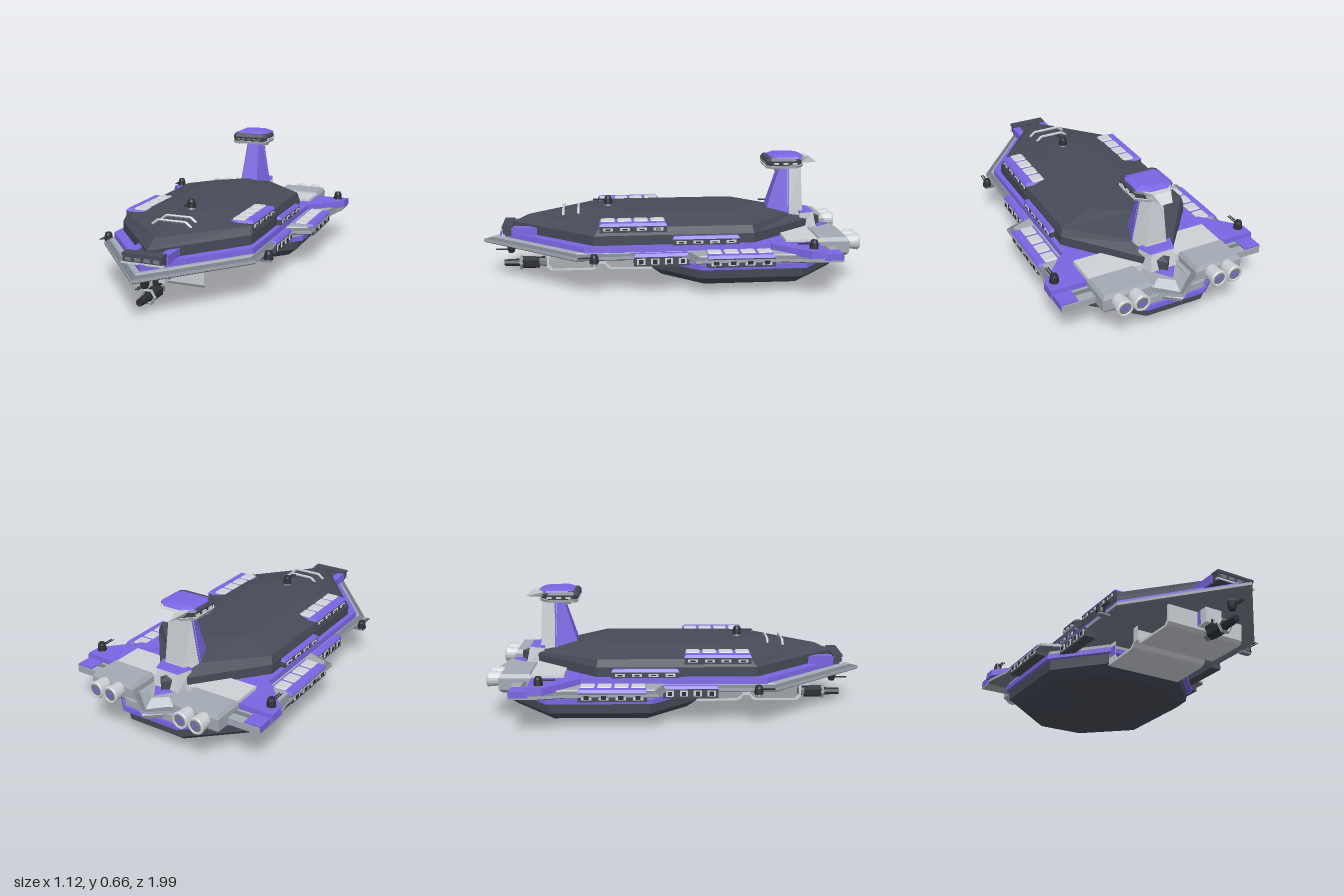
import * as THREE from 'three';
import { RoundedBoxGeometry } from 'three/addons/geometries/RoundedBoxGeometry.js';

const paint = (name, color) => {
  const m = new THREE.MeshStandardMaterial({ color, flatShading: true });
  m.name = name;
  return m;
};

export function createModel() {
  const ship = new THREE.Group();
  ship.name = 'starship';
  const purple = paint('purple', 0x7a65e2), dark = paint('hull slate', 0x464b57);
  const gun = paint('gunmetal', 0x2d2f35), light = paint('light grey', 0xcdd1d6);
  const grey = paint('grey', 0xa3aab3), steel = paint('steel', 0x777d87);

  const add = (name, geo, mat, x = 0, y = 0, z = 0, parent = ship) => {
    const m = new THREE.Mesh(geo, mat);
    m.name = name;
    m.position.set(x, y, z);
    parent.add(m);
    return m;
  };
  // box given by its min and max along each axis
  const box = (name, mat, x0, x1, y0, y1, z0, z1) =>
    add(name, new THREE.BoxGeometry(Math.abs(x1 - x0), y1 - y0, z1 - z0), mat,
      (x0 + x1) / 2, (y0 + y1) / 2, (z0 + z1) / 2);
  const cyl = (name, mat, r0, r1, h, n, x, y, z, parent, alongZ) => {
    const g = new THREE.CylinderGeometry(r0, r1, h, n);
    if (alongZ) g.rotateX(Math.PI / 2);
    return add(name, g, mat, x, y, z, parent);
  };

  // capped skin over rings of [x, y, z], bottom to top, counterclockwise from above
  const loft = (name, mat, rings) => {
    const pos = [], n = rings[0].length;
    const tri = (a, b, c) => pos.push(...a, ...b, ...c);
    for (let r = 0; r < rings.length - 1; r++) for (let i = 0; i < n; i++) {
      const j = (i + 1) % n, a = rings[r], b = rings[r + 1];
      tri(a[i], a[j], b[j]);
      tri(a[i], b[j], b[i]);
    }
    [rings[0], rings[rings.length - 1]].forEach((ring, top) => {
      const flat = ring.map(p => new THREE.Vector2(p[0], -p[2]));
      for (const [a, b, c] of THREE.ShapeUtils.triangulateShape(flat, []))
        top ? tri(ring[a], ring[b], ring[c]) : tri(ring[a], ring[c], ring[b]);
    });
    const g = new THREE.BufferGeometry();
    g.setAttribute('position', new THREE.Float32BufferAttribute(pos, 3));
    g.computeVertexNormals();
    return add(name, g, mat);
  };
  const mirror = half => [...half, ...half.filter(p => p[0] > 0).reverse().map(([x, z]) => [-x, z])];
  const at = (plan, y) => plan.map(([x, z]) => [x, y, z]);
  // plan outline [x, z] moved inward by d
  const inset = (pts, d) => pts.map((p, i) => {
    const q = pts[(i + pts.length - 1) % pts.length], s = pts[(i + 1) % pts.length];
    const normal = (a, b) => {
      const l = Math.hypot(b[0] - a[0], b[1] - a[1]);
      return [(b[1] - a[1]) / l, -(b[0] - a[0]) / l];
    };
    const [ax, az] = normal(q, p), [bx, bz] = normal(p, s), k = d / (1 + ax * bx + az * bz);
    return [p[0] + (ax + bx) * k, p[1] + (az + bz) * k];
  });
  // slab with levels of [y, inset]
  const slab = (name, mat, plan, levels) => {
    const area = plan.reduce((s, p, i) => {
      const q = plan[(i + 1) % plan.length];
      return s + q[0] * p[1] - p[0] * q[1];
    }, 0);
    const pts = area > 0 ? plan : [...plan].reverse();
    return loft(name, mat, levels.map(([y, d]) => at(inset(pts, d), y)));
  };
  const both = fn => [1, -1].forEach(fn);

  // upper hull
  const hex = (y, w, bow, f, b, stern) => at(mirror([[0, bow], [w, f], [w, b], [0, stern]]), y);
  loft('upperHull', dark, [hex(0.245, 0.355, 0.83, 0.4, -0.42, -0.85), hex(0.3, 0.355, 0.83, 0.4, -0.42, -0.85),
    hex(0.34, 0.343, 0.75, 0.37, -0.41, -0.74), hex(0.38, 0.17, 0.44, 0.2, -0.36, -0.47)]);

  // main decks
  const deck = mirror([[0, 0.995], [0.415, 0.5], [0.415, -0.06], [0.52, -0.1], [0.52, -0.55],
    [0.55, -0.7], [0.55, -0.74], [0.36, -0.76], [0.36, -0.88], [0.13, -0.9], [0, -0.99]]);
  slab('deckKeel', steel, deck, [[0.187, 0.008], [0.193, 0]]);
  slab('deckSide', grey, deck, [[0.193, 0], [0.207, 0]]);
  slab('deckBevel', steel, deck, [[0.206, 0.001], [0.217, 0.026]]);
  slab('deckTop', grey, deck, [[0.214, 0.026], [0.223, 0.034]]);
  slab('purpleDeck', purple, mirror([[0, 0.91], [0.385, 0.45], [0.385, -0.58], [0.15, -0.74]]),
    [[0.21, 0], [0.25, 0.004]]);

  // lower hull and its rims
  const belly = mirror([[0.22, 0.1], [0.438, -0.14], [0.438, -0.66], [0.15, -0.92]]);
  loft('lowerHull', dark, [at(mirror([[0.11, -0.18], [0.2, -0.27], [0.2, -0.53], [0.09, -0.62]]), 0),
    at(inset(belly, 0.055), 0.042), at(inset(belly, 0.004), 0.085), at(belly, 0.142)]).position.x = -0.008;
  slab('lowerRim', purple, belly, [[0.14, -0.025], [0.165, -0.025]]);
  slab('upperRim', grey, belly, [[0.165, -0.012], [0.2, -0.012]]);

  // hangar frame under the bow, open through its sides
  const path = p => p.map(([z, y]) => new THREE.Vector2(z, y));
  const frame = new THREE.Shape(path([[0.652, 0.195], [0.648, 0.1], [0.635, 0.084], [0.62, 0.08], [0.41, 0.08],
    [0.39, 0.088], [0.375, 0.11], [0.345, 0.11], [0.33, 0.088], [0.31, 0.08], [0.09, 0.075], [0.09, 0.195]]));
  frame.holes.push(new THREE.Path(path([[0.637, 0.19], [0.637, 0.115], [0.615, 0.092], [0.41, 0.092], [0.38, 0.115], [0.38, 0.19]])),
    new THREE.Path(path([[0.338, 0.19], [0.338, 0.115], [0.31, 0.092], [0.18, 0.09], [0.165, 0.115], [0.165, 0.19]])));
  const frameGeo = new THREE.ExtrudeGeometry(frame, { depth: 0.43, bevelEnabled: false });
  frameGeo.rotateY(-Math.PI / 2);
  add('hangarFrame', frameGeo, light, 0.208);
  box('bowPylon', light, -0.056, 0.034, 0.11, 0.19, 0.65, 0.72);
  both(s => {
    box('pylonPanel', purple, -0.011 + s * 0.04, -0.011 + s * 0.046, 0.115, 0.19, 0.635, 0.675);
    box('hangarPanel', purple, -0.007 + s * 0.214, -0.007 + s * 0.217, 0.115, 0.165, 0.11, 0.16);
  });

  // gun turret with twin barrels, s < 0 hangs it upside down
  const turret = (x, y, z, s = 1) => {
    const t = new THREE.Group();
    t.name = 'turret';
    t.position.set(x, y, z);
    if (s < 0) t.rotation.z = Math.PI;
    cyl('turretBase', steel, 0.014, 0.02, 0.012, 10, 0, 0.006, 0, t);
    cyl('turretDrum', gun, 0.02, 0.024, 0.03, 10, 0, 0.025, 0, t);
    cyl('turretCap', gun, 0.015, 0.02, 0.012, 10, 0, 0.046, 0, t);
    both(k => cyl('barrel', gun, 0.003, 0.003, 0.075, 6, k * 0.006, 0.034, 0.045, t, true));
    ship.add(t);
  };
  both(s => { turret(s * 0.515, 0.248, -0.69); turret(s * 0.445, 0.178, 0.4); });
  turret(0, 0.38, 0.32);
  turret(-0.005, 0.178, 0.85, -1);
  both(s => box('turretArm', steel, s * 0.4, s * 0.46, 0.175, 0.19, 0.385, 0.415));

  // heavy cannon slung under the bow
  cyl('cannonBody', gun, 0.034, 0.034, 0.1, 6, -0.014, 0.065, 0.75, ship, true);
  cyl('cannonBarrel', gun, 0.018, 0.022, 0.1, 8, -0.014, 0.065, 0.84, ship, true);
  cyl('cannonBreech', steel, 0.02, 0.026, 0.04, 6, -0.014, 0.065, 0.685, ship, true);
  add('cannonRing', new THREE.TorusGeometry(0.034, 0.009, 4, 6), grey, -0.014, 0.065, 0.798);
  box('cannonMount', gun, -0.029, 0.001, 0.09, 0.13, 0.67, 0.72);

  // weapon bays: dark body, purple sloping cap, row of pale pods and side slots
  const bay = (s, x0, x1, y0, y1, z0, z1, podX) => {
    box('bayBody', dark, s * x0, s * x1, y0, y1 - 0.014, z0, z1);
    const c = [[s * x0, z0], [s * x1, z0], [s * x1, z1], [s * x0, z1]];
    slab('bayCap', purple, c, [[y1 - 0.014, -0.003], [y1, 0.008]]);
    const step = (z1 - z0) / 4;
    for (let i = 0; i < 4; i++) {
      const z = z0 + step * (i + 0.5);
      if (podX) add('bayPod', new RoundedBoxGeometry(0.07, 0.024, step * 0.88, 2, 0.01), light, s * podX, y1 - 0.006, z);
      box('baySlot', light, s * x1, s * (x1 + 0.004), y0 + 0.01, y1 - 0.022, z - step * 0.3, z + step * 0.3);
      box('baySlotCore', gun, s * (x1 + 0.003), s * (x1 + 0.006), y0 + 0.014, y1 - 0.027, z - step * 0.15, z + step * 0.15);
    }
  };
  both(s => {
    bay(s, 0.235, 0.352, 0.315, 0.362, 0.03, 0.37, 0.275);
    bay(s, 0.39, 0.515, 0.168, 0.228, -0.5, -0.16, 0.44);
    bay(s, 0.345, 0.378, 0.248, 0.295, -0.34, 0);
    bay(s, 0.36, 0.418, 0.155, 0.218, -0.08, 0.2);
  });

  // bow battery
  box('bowBattery', dark, -0.1, 0.1, 0.245, 0.285, 0.74, 0.88);
  box('bowBatteryRoof', dark, -0.103, 0.103, 0.283, 0.297, 0.83, 0.885);
  box('bowBatteryRail', light, -0.108, 0.108, 0.246, 0.254, 0.87, 0.886);
  both(s => box('bowBatteryCheek', purple, s * 0.065, s * 0.108, 0.245, 0.29, 0.7, 0.835));
  for (let i = -1.5; i < 2; i++) box('bowSlot', steel, i * 0.048 - 0.015, i * 0.048 + 0.015, 0.26, 0.276, 0.88, 0.884);

  // arched rails on the foredeck
  for (const [z, w, y] of [[0.48, 0.095, 0.38], [0.56, 0.105, 0.376]]) {
    const pts = [[-w, -0.025], [-w * 0.7, 0], [w * 0.7, 0], [w, -0.025]].map(p => new THREE.Vector3(p[0], p[1], 0));
    const rail = new THREE.CurvePath();
    for (let i = 0; i < 3; i++) rail.add(new THREE.LineCurve3(pts[i], pts[i + 1]));
    add('foredeckRail', new THREE.TubeGeometry(rail, 24, 0.007, 5), light, 0, y, z);
  }

  // rear wings, stern decks and engines
  both(s => {
    const side = pts => pts.map(([x, z]) => [s * x, z]);
    slab('rearWing', purple, side([[0.56, -0.75], [0.56, -0.67], [0.4, -0.5], [0.29, -0.5], [0.29, -0.58], [0.37, -0.58],
      [0.37, -0.75]]), [[0.215, 0], [0.252, 0.003]]);
    box('wingFlap', grey, s * 0.37, s * 0.545, 0.19, 0.225, -0.84, -0.74);
    box('wingFlapTip', purple, s * 0.46, s * 0.548, 0.2, 0.232, -0.835, -0.74);
    box('wingFlapGroove', steel, s * 0.375, s * 0.46, 0.225, 0.23, -0.79, -0.77);
    slab('sternDeck', light, side([[0.05, -0.76], [0.37, -0.76], [0.37, -0.58], [0.2, -0.58]]), [[0.2, 0], [0.262, 0.004]]);
    slab('engineHousing', grey, side([[0.12, -0.915], [0.375, -0.915], [0.375, -0.745], [0.12, -0.745]]),
      [[0.172, 0.015], [0.19, 0], [0.25, 0], [0.27, 0.012]]);
    for (const x of [0.208, 0.296]) {
      cyl('engine', light, 0.036, 0.042, 0.075, 20, s * x, 0.228, -0.94, ship, true);
      add('engineLip', new THREE.TorusGeometry(0.036, 0.008, 6, 20), light, s * x, 0.228, -0.977);
      cyl('engineCore', steel, 0.032, 0.032, 0.004, 20, s * x, 0.228, -0.978, ship, true);
      cyl('engineHub', purple, 0.013, 0.013, 0.004, 12, s * x, 0.228, -0.981, ship, true);
    }
  });
  slab('tailPoint', grey, mirror([[0.125, -0.7], [0.125, -0.9], [0, -0.997]]), [[0.17, 0.01], [0.192, 0], [0.25, 0.06]]);
  slab('tailChevron', purple, mirror([[0.065, -0.82], [0, -0.91]]), [[0.238, 0], [0.257, 0.008]]);

  // command tower
  const quad = (y, wf, zf, wb, zb) => [[-wf, y, zf], [wf, y, zf], [wb, y, zb], [-wb, y, zb]];
  loft('towerFront', purple, [quad(0.33, 0.05, -0.535, 0.095, -0.66), quad(0.59, 0.03, -0.615, 0.05, -0.66)]);
  loft('towerBack', light, [quad(0.24, 0.1, -0.64, 0.07, -0.76), quad(0.35, 0.088, -0.65, 0.055, -0.74),
    quad(0.59, 0.048, -0.65, 0.03, -0.73)]);
  loft('towerFoot', light, [quad(0.24, 0.088, -0.72, 0.07, -0.82), quad(0.335, 0.085, -0.72, 0.06, -0.8)]);
  loft('towerFootTrim', purple, [quad(0.335, 0.09, -0.72, 0.065, -0.8), quad(0.343, 0.088, -0.72, 0.062, -0.795)]);
  const head = mirror([[0.085, -0.525], [0.107, -0.55], [0.107, -0.69], [0.05, -0.74]]);
  slab('headRim', light, head, [[0.584, 0.008], [0.6, 0]]);
  slab('headBody', dark, head, [[0.6, 0.008], [0.625, 0.002], [0.642, 0.012]]);
  const roof = mirror([[0.075, -0.55], [0.1, -0.58], [0.1, -0.7], [0.05, -0.745]]);
  slab('headRoof', purple, roof, [[0.636, 0.002], [0.645, 0.006], [0.656, 0.032]]);
  loft('headTail', light, [quad(0.607, 0.06, -0.72, 0.03, -0.815), quad(0.642, 0.09, -0.69, 0.045, -0.77)]);
  for (let i = -2; i <= 2; i++) box('headWindow', steel, i * 0.032 - 0.01, i * 0.032 + 0.01, 0.608, 0.616, -0.531, -0.526);
  both(s => {
    for (const z of [-0.58, -0.63, -0.68]) box('headSideWindow', light, s * 0.1, s * 0.108, 0.606, 0.616, z - 0.013, z + 0.013);
    box('headSensor', steel, s * 0.07, s * 0.1, 0.576, 0.586, -0.6, -0.57);
  });

  ship.position.x = -0.006;
  const model = new THREE.Group();
  model.name = 'model';
  model.add(ship);
  return model;
}
